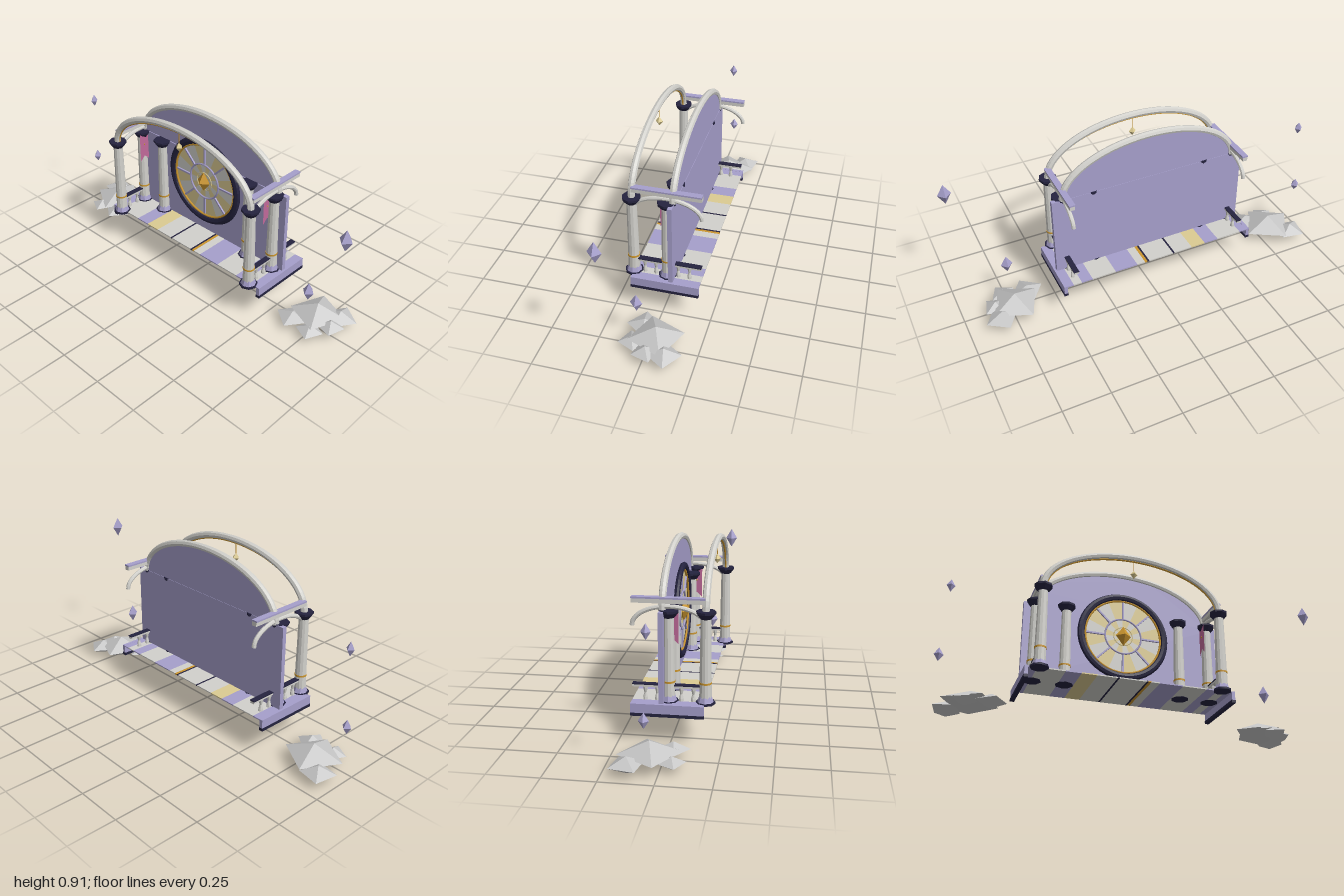
import * as THREE from 'three';

const mat = (name, color, side = THREE.FrontSide) => {
  const m = new THREE.MeshStandardMaterial({ color, side });
  m.name = name;
  return m;
};

export function createModel() {
  const lavender = mat('lavender', 0xa69fcb);
  const navy = mat('navy', 0x25233f);
  const stone = mat('pale stone', 0xd2d1cc);
  const gold = mat('gold', 0xcb962f);
  const paleGold = mat('pale gold', 0xdccb92);
  const pink = mat('pink cloth', 0xc0699a, THREE.DoubleSide);
  const rock = mat('rock grey', 0xc6c6c6);

  const CX = -0.043; // middle of the building
  const SIDE = 0.478; // offset of the outer columns
  const root = new THREE.Group();

  const group = (name, parent = root) => {
    const g = new THREE.Group();
    g.name = name;
    parent.add(g);
    return g;
  };
  const add = (parent, name, geo, material, x = 0, y = 0, z = 0) => {
    const m = new THREE.Mesh(geo, material);
    m.name = name;
    m.position.set(x, y, z);
    parent.add(m);
    return m;
  };
  const facet = (geo) => {
    const g = geo.index ? geo.toNonIndexed() : geo;
    g.computeVertexNormals();
    return g;
  };
  const box = (parent, name, material, x0, x1, y0, y1, z0, z1) =>
    add(parent, name, new THREE.BoxGeometry(x1 - x0, y1 - y0, z1 - z0), material,
      (x0 + x1) / 2, (y0 + y1) / 2, (z0 + z1) / 2);
  const lathe = (pts, sides) =>
    facet(new THREE.LatheGeometry(pts.map(([r, y]) => new THREE.Vector2(r, y)), sides));
  const crystal = (parent, name, material, x, y, z, rx, ry, rz = rx, turn = 0) => {
    const m = add(parent, name, new THREE.OctahedronGeometry(1), material, x, y, z);
    m.scale.set(rx, ry, rz);
    m.rotation.y = turn;
    return m;
  };
  const tube = (pts, r, sides = 8) =>
    facet(new THREE.TubeGeometry(new THREE.CatmullRomCurve3(pts), 48, r, sides));
  const arc = (n, fn, a0 = 0, a1 = Math.PI) =>
    Array.from({ length: n + 1 }, (_, i) => fn(a0 + (a1 - a0) * i / n));

  // Striped floor slab: [right edge, material]
  const floor = group('floor');
  let left = -0.583;
  for (const [right, m] of [
    [-0.53, lavender], [-0.46, stone], [-0.39, stone], [-0.31, lavender], [-0.23, paleGold],
    [-0.126, stone], [-0.116, navy], [0.025, stone], [0.035, navy], [0.05, gold],
    [0.095, stone], [0.22, lavender], [0.35, stone], [0.41, lavender], [0.455, stone], [0.497, lavender],
  ]) {
    box(floor, 'floorStripe', m, left, right, 0.194, 0.2, -0.187, 0.16);
    left = right;
  }

  // Rear wall and its arched upper panel
  box(root, 'wall', lavender, -0.58, 0.494, 0.2, 0.643, -0.053, -0.03);
  const panel = new THREE.Shape();
  panel.absellipse(0, 0, 0.48, 0.245, 0, Math.PI, false);
  panel.closePath();
  add(root, 'archedPanel',
    new THREE.ExtrudeGeometry(panel, { depth: 0.016, bevelEnabled: false, curveSegments: 40 }),
    lavender, CX, 0.643, -0.051);

  // Front and rear arches, each with a gold lining
  for (const [name, z] of [['frontArch', 0.162], ['rearArch', -0.042]]) {
    const g = group(name);
    const ellipse = (rx, ry) => arc(24, (a) =>
      new THREE.Vector3(CX + rx * Math.cos(a), 0.64 + ry * Math.sin(a), z));
    add(g, 'archRib', tube(ellipse(0.478, 0.25), 0.018), stone);
    add(g, 'archLining', tube(ellipse(0.463, 0.231), 0.005, 5), gold);
  }

  // Columns
  const shaftGeo = lathe([[0.03, 0.22], [0.025, 0.62]], 12);
  const baseGeo = lathe([[0.041, 0.2], [0.038, 0.205], [0.028, 0.236], [0, 0.236]], 8);
  const plinthGeo = new THREE.CylinderGeometry(0.047, 0.047, 0.01, 8);
  const capitalGeo = lathe(
    [[0.026, 0.608], [0.032, 0.614], [0.047, 0.634], [0.047, 0.645], [0, 0.645]], 8);
  const bandGeo = new THREE.CylinderGeometry(0.031, 0.031, 0.009, 12);
  for (const [dx, z] of [[SIDE, 0.162], [SIDE, -0.012], [0.313, -0.012]]) {
    for (const s of [-1, 1]) {
      const g = group('column');
      g.position.set(CX + s * dx, 0, z);
      add(g, 'columnShaft', shaftGeo, stone);
      add(g, 'columnBase', baseGeo, lavender);
      add(g, 'columnPlinth', plinthGeo, navy, 0, 0.198, 0);
      add(g, 'columnCapital', capitalGeo, navy);
      add(g, 'columnBand', bandGeo, gold, 0, 0.297, 0);
    }
  }

  // Side ends: trim, roof beam, curved brace, railing and banner
  const balusterGeo = lathe(
    [[0.012, 0.2], [0.011, 0.212], [0.006, 0.235], [0.011, 0.257], [0.012, 0.266]], 8);
  for (const s of [-1, 1]) {
    const side = group(s > 0 ? 'leftEnd' : 'rightEnd');
    const x = CX + s * SIDE;
    const edge = CX + s * 0.54;
    box(side, 'floorTrim', lavender, edge - 0.009, edge + 0.009, 0.155, 0.201, -0.187, 0.162);
    box(side, 'floorTrimFoot', navy, edge - 0.011, edge + 0.011, 0.14, 0.155, -0.187, 0.162);

    box(side, 'roofBeam', stone, x - 0.013, x + 0.013, 0.676, 0.697, -0.187, 0.16);
    box(side, 'roofBeamCap', lavender, x - 0.016, x + 0.016, 0.697, 0.705, -0.187, 0.16);
    add(side, 'curvedBrace', tube(arc(16, (a) =>
      new THREE.Vector3(x, 0.565 + 0.095 * Math.sin(a), -0.01 + 0.175 * Math.cos(a)), 0.4), 0.011), stone);

    box(side, 'handrail', stone, x - 0.012, x + 0.012, 0.265, 0.276, -0.187, 0.14);
    box(side, 'handrailCap', navy, x - 0.014, x + 0.014, 0.276, 0.281, -0.187, 0.14);
    for (let i = 0; i < 5; i++) add(side, 'baluster', balusterGeo, stone, x, 0, 0.105 - i * 0.0575);

    // Swallow-tailed banner hanging on the inner face of the column
    const cloth = new THREE.Shape([[-0.03, 0.635], [0.03, 0.635], [0.03, 0.47], [0, 0.5], [-0.03, 0.47]]
      .map(([u, v]) => new THREE.Vector2(u, v)));
    const banner = add(side, 'banner', new THREE.ShapeGeometry(cloth), pink, x - s * 0.03, 0, 0);
    banner.rotation.y = Math.PI / 2;
    crystal(side, 'bannerStud', gold, x - s * 0.031, 0.57, 0, 0.005, 0.008);
  }

  // Round window
  const win = group('roundWindow');
  win.position.set(CX, 0.513, -0.016);
  const frame = add(win, 'windowFrame', facet(new THREE.TorusGeometry(0.231, 0.02, 8, 48)), navy);
  frame.scale.z = 0.75;
  add(win, 'windowGoldRim', new THREE.TorusGeometry(0.209, 0.006, 6, 48), gold);
  add(win, 'windowInnerRing', new THREE.TorusGeometry(0.1, 0.005, 6, 40), lavender);
  add(win, 'windowCoreRing', new THREE.TorusGeometry(0.052, 0.0025, 6, 24), paleGold);
  for (let i = 0; i < 8; i++) {
    const a = i * Math.PI / 4;
    const half = Math.PI / 8;
    for (const k of [0, 1]) {
      add(win, 'outerPane', new THREE.RingGeometry(0.1, 0.212, 5, 1, a + k * half, half),
        k ? stone : paleGold, 0, 0, -0.008);
      add(win, 'innerPane', new THREE.RingGeometry(0, 0.1, 5, 1, a + k * half, half),
        k ? paleGold : stone, 0, 0, -0.008);
    }
    const spoke = add(win, 'windowSpoke', new THREE.BoxGeometry(0.108, 0.009, 0.009), lavender,
      0.155 * Math.cos(a), 0.155 * Math.sin(a), -0.003);
    spoke.rotation.z = a;
  }
  crystal(win, 'windowGem', gold, 0, 0, 0.005, 0.042, 0.056, 0.034);

  // Pendant under the front arch
  const pendant = group('pendant');
  add(pendant, 'pendantCord', new THREE.CylinderGeometry(0.002, 0.002, 0.07, 5), gold, CX, 0.84, 0.162);
  crystal(pendant, 'pendantGem', paleGold, CX, 0.792, 0.162, 0.02, 0.025);

  // Floating crystals
  for (const [x, y, z, r, h] of [
    [-0.957, 0.67, -0.035, 0.022, 0.036], [-0.98, 0.287, -0.045, 0.024, 0.037],
    [0.962, 0.717, 0.148, 0.034, 0.056], [0.728, 0.25, 0.058, 0.031, 0.05],
  ]) crystal(root, 'floatingCrystal', lavender, x, y, z, r, h);

  // Floating rocks: x, y, z, radius, half height, turn
  for (const [x, y, z, r, h, turn] of [
    [-0.81, 0.06, -0.055, 0.15, 0.06, 0.25], [-0.91, 0.045, -0.14, 0.088, 0.04, 0.6],
    [-0.845, 0.035, 0.05, 0.068, 0.032, 0.3], [-0.72, 0.043, 0.04, 0.08, 0.038, 0.15],
    [0.73, 0.06, -0.035, 0.14, 0.06, 0.4], [0.825, 0.045, -0.1, 0.088, 0.04, 0.2],
    [0.64, 0.035, 0.05, 0.088, 0.033, 0.15], [0.765, 0.035, 0.075, 0.07, 0.032, 0.35],
    [0.83, 0.045, -0.01, 0.07, 0.036, 0.5],
  ]) crystal(root, 'floatingRock', rock, x, y, z, r, h, r, turn);

  return root;
}
